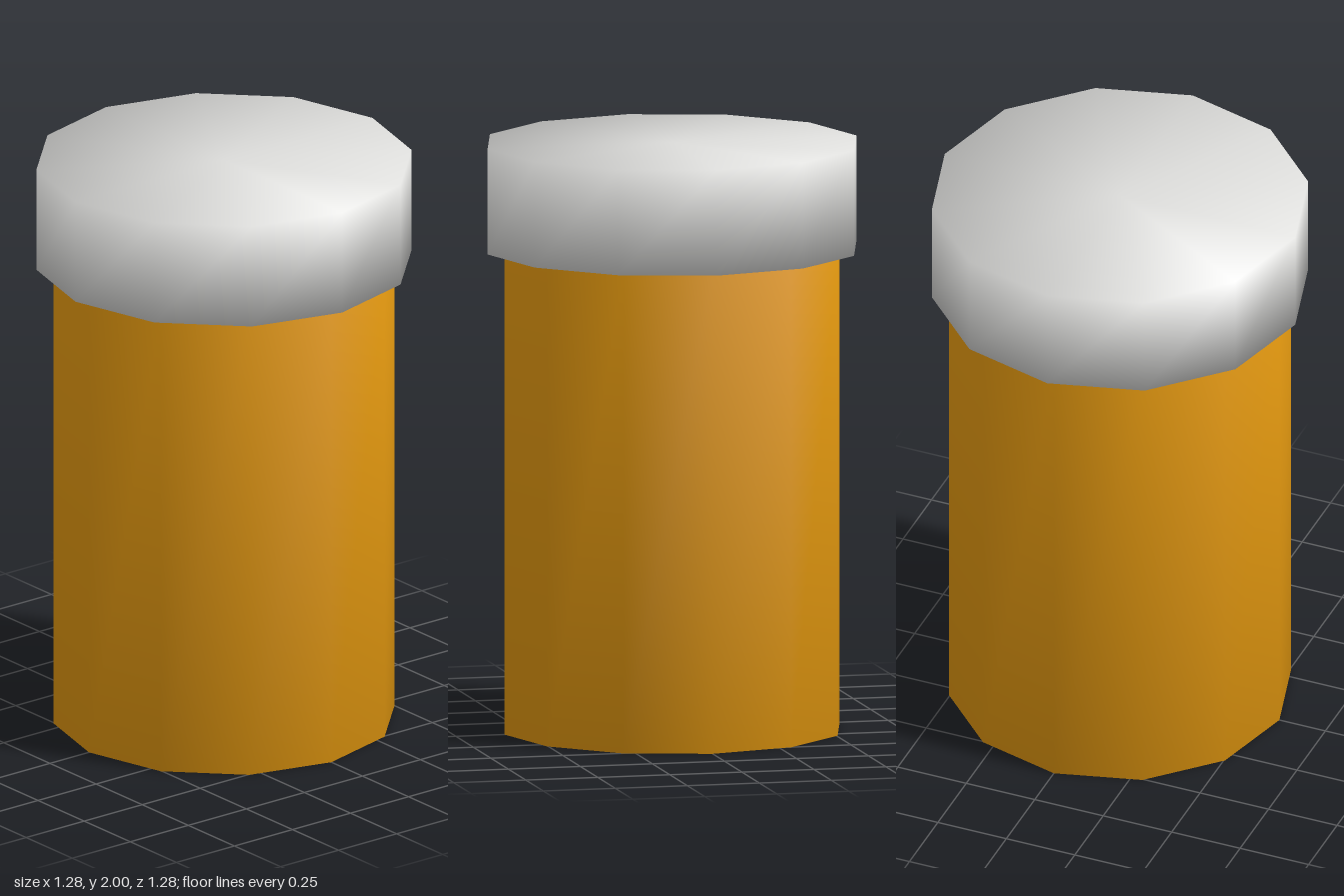
import * as THREE from 'three';
import { mergeVertices } from 'three/addons/utils/BufferGeometryUtils.js';

const SIDES = 12;

// Closed low-poly drum with normals smoothed across all its edges
function smoothDrum(name, radius, bottom, top, material) {
  let geometry = new THREE.CylinderGeometry(radius, radius, top - bottom, SIDES);
  geometry.deleteAttribute('uv');
  geometry.deleteAttribute('normal');
  geometry = mergeVertices(geometry, 1e-4);
  geometry.computeVertexNormals();
  const mesh = new THREE.Mesh(geometry, material);
  mesh.name = name;
  mesh.position.y = (bottom + top) / 2;
  return mesh;
}

export function createModel() {
  const amber = new THREE.MeshStandardMaterial({ color: 0xe0960f });
  amber.name = 'amber';
  const offWhite = new THREE.MeshStandardMaterial({ color: 0xdcdcda });
  offWhite.name = 'off white';

  const model = new THREE.Group();
  model.name = 'pillBottle';
  model.add(
    smoothDrum('bottleBody', 0.582, 0, 1.64, amber),
    smoothDrum('cap', 0.64, 1.64, 2, offWhite)
  );
  return model;
}
